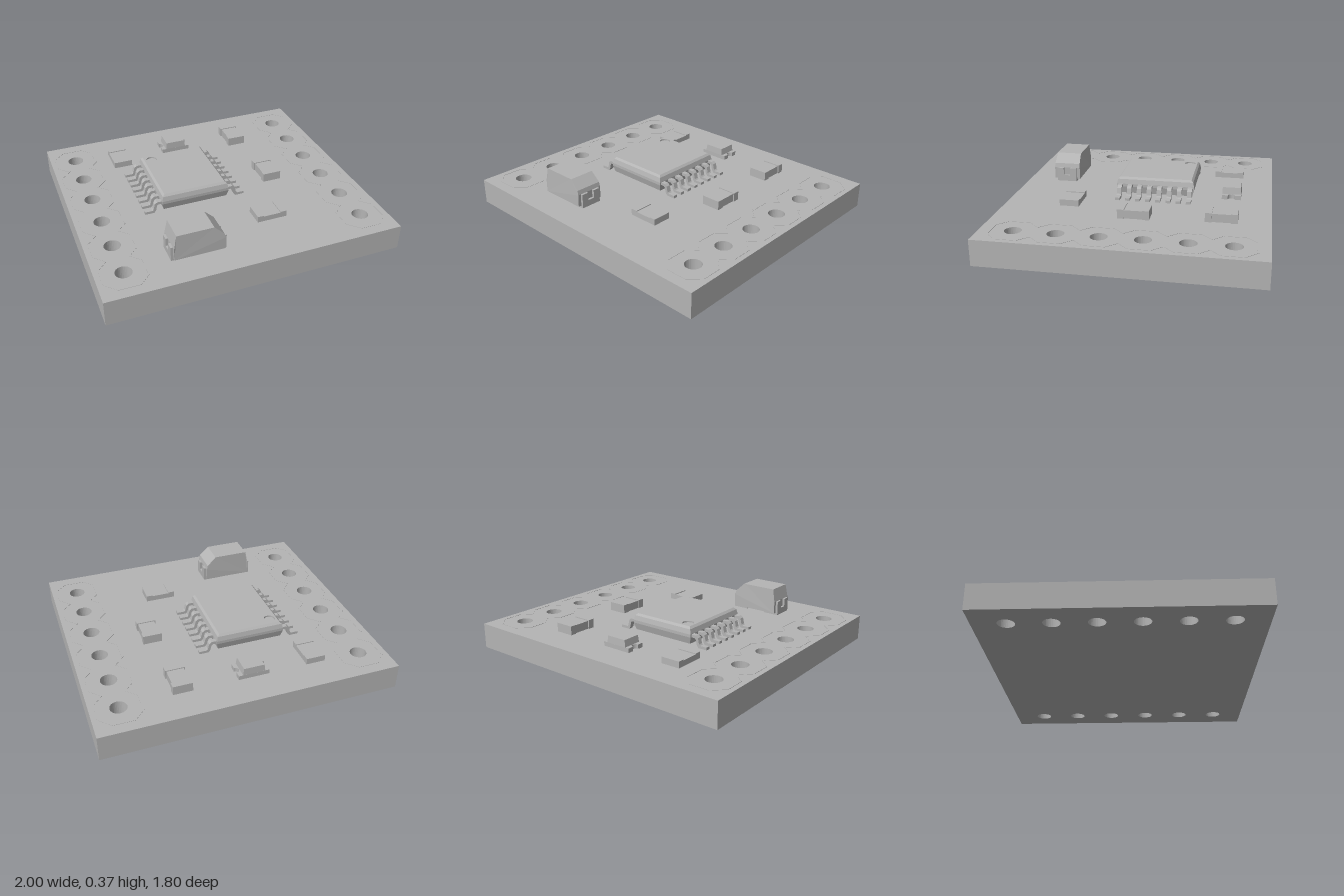
import * as THREE from 'three';

const grey = new THREE.MeshStandardMaterial({ color: 0xb4b4b4 });
grey.name = 'plain grey';
const TOP = 0.175;

function add(parent, name, geometry) {
  const m = new THREE.Mesh(geometry, grey);
  m.name = name;
  parent.add(m);
  return m;
}

function box(parent, name, w, h, d, x, y, z) {
  return add(parent, name, new THREE.BoxGeometry(w, h, d).translate(x, y + h / 2, z));
}

function polygon(points) {
  return new THREE.Shape(points.map(([x, y]) => new THREE.Vector2(x, y)));
}

// Extrudes a plan outline (x, -z) upwards from height y
function slab(shape, y, h) {
  return new THREE.ExtrudeGeometry(shape, { depth: h, bevelEnabled: false, curveSegments: 16 })
    .rotateX(-Math.PI / 2).translate(0, y, 0);
}

// Side walls through stacked rectangles [y, half width, half depth], closed below
function stackedWalls(rings) {
  const pos = [];
  const corner = ([y, w, d], i) => [[-w, y, d], [w, y, d], [w, y, -d], [-w, y, -d]][i % 4];
  for (let r = 0; r < rings.length - 1; r++) {
    for (let i = 0; i < 4; i++) {
      const a = corner(rings[r], i), b = corner(rings[r], i + 1);
      const c = corner(rings[r + 1], i + 1), d = corner(rings[r + 1], i);
      pos.push(...a, ...b, ...c, ...a, ...c, ...d);
    }
  }
  const [p, q, s, t] = [0, 1, 2, 3].map(i => corner(rings[0], i));
  pos.push(...p, ...s, ...q, ...p, ...t, ...s);
  const g = new THREE.BufferGeometry();
  g.setAttribute('position', new THREE.Float32BufferAttribute(pos, 3));
  g.computeVertexNormals();
  return g;
}

function addBoard(root) {
  const shape = polygon([[-1, -0.9], [1, -0.9], [1, 0.9], [-1, 0.9]]);
  for (const x of [-0.82, 0.82]) {
    for (let i = 0; i < 6; i++) {
      const hole = new THREE.Path();
      hole.absarc(x, (i - 2.5) * 0.273, 0.055, 0, Math.PI * 2, true);
      shape.holes.push(hole);
    }
  }
  add(root, 'board', slab(shape, 0, TOP));
}

// Thin scalloped line printed around each row of holes
function addRowOutlines(root) {
  const outline = r => {
    const side = [];
    for (let i = 0; i < 6; i++) {
      const y = (i - 2.5) * 0.273;
      side.push([r, y - 0.07], [r, y + 0.07]);
      if (i < 5) side.push([r - 0.065, y + 0.1365]);
    }
    const end = 2.5 * 0.273 + r;
    return [[0.07, -end], ...side, [0.07, end], [-0.07, end],
      ...side.map(([x, y]) => [-x, y]).reverse(), [-0.07, -end]];
  };
  for (const x of [-0.82, 0.82]) {
    const shape = polygon(outline(0.145));
    shape.holes.push(polygon(outline(0.135)));
    add(root, 'rowOutline', slab(shape, TOP, 0.002)).position.x = x;
  }
}

function addChip(root) {
  const chip = new THREE.Group();
  chip.name = 'chip';
  chip.position.set(-0.17, 0, -0.09);
  root.add(chip);
  add(chip, 'chipBody', stackedWalls([
    [0.19, 0.228, 0.26], [0.238, 0.24, 0.273], [0.258, 0.24, 0.273],
    [0.29, 0.232, 0.265], [0.304, 0.218, 0.252]]));

  // Lid with a round marker dimple
  const dx = -0.167, dz = -0.2, r = 0.038;
  const lid = polygon([[-0.218, -0.252], [0.218, -0.252], [0.218, 0.252], [-0.218, 0.252]]);
  const hole = new THREE.Path();
  hole.absarc(dx, -dz, r, 0, Math.PI * 2, true);
  lid.holes.push(hole);
  add(chip, 'chipLid', slab(lid, 0.292, 0.012));
  add(chip, 'dimpleFloor', new THREE.CircleGeometry(r + 0.002, 32)
    .rotateX(-Math.PI / 2).translate(dx, 0.294, dz));

  // Gull-wing leads, eight on each side
  const profile = polygon([
    [0.23, 0.238], [0.265, 0.238], [0.274, 0.23], [0.284, 0.192], [0.296, 0.177], [0.36, 0.177],
    [0.36, 0.195], [0.308, 0.195], [0.301, 0.203], [0.291, 0.243], [0.274, 0.257], [0.23, 0.257]]);
  const lead = new THREE.ExtrudeGeometry(profile, { depth: 0.032, bevelEnabled: false })
    .translate(0, 0, -0.016);
  for (let i = 0; i < 8; i++) {
    for (const turn of [0, Math.PI]) {
      const m = add(chip, 'chipLead', lead);
      m.position.z = (i - 3.5) * 0.0703;
      m.rotation.y = turn;
    }
  }
}

// Tall moulded capacitor with one sloped shoulder and folded end tabs
function addMouldedCapacitor(root) {
  const cap = new THREE.Group();
  cap.name = 'mouldedCapacitor';
  cap.position.set(0, 0, 0.613);
  root.add(cap);
  const profile = polygon([
    [-0.505, 0.19], [-0.17, 0.19], [-0.168, 0.275], [-0.175, 0.305],
    [-0.24, 0.367], [-0.487, 0.367], [-0.505, 0.275]]);
  const body = new THREE.ExtrudeGeometry(profile, { depth: 0.19, bevelEnabled: false })
    .translate(0, 0, -0.095);
  const p = body.attributes.position;
  for (let i = 0; i < p.count; i++) {
    const rise = Math.max(0, p.getY(i) - 0.275);
    p.setZ(i, p.getZ(i) * (1 - rise * 0.7));
  }
  body.computeVertexNormals();
  add(cap, 'capacitorBody', body);

  const tab = polygon([
    [-0.073, 0.177], [0.073, 0.177], [0.073, 0.275], [0.024, 0.275],
    [0.024, 0.22], [-0.024, 0.22], [-0.024, 0.275], [-0.073, 0.275]]);
  for (const [x, foot] of [[-0.521, -0.465], [-0.17, -0.21]]) {
    add(cap, 'endTab', new THREE.ExtrudeGeometry(tab, { depth: 0.018, bevelEnabled: false })
      .rotateY(Math.PI / 2).translate(x, 0, 0));
    box(cap, 'foot', 0.11, 0.016, 0.146, foot, TOP, 0);
  }
}

// Small two-ended chip part, long along z before turning
function addSmallPart(root, name, x, z, height, waist, turn) {
  const part = new THREE.Group();
  part.name = name;
  part.position.set(x, 0, z);
  part.rotation.y = turn;
  root.add(part);
  box(part, 'core', 0.132 - waist, height - 0.006, 0.13, 0, TOP, 0);
  for (const s of [-1, 1]) box(part, 'endCap', 0.132, height, 0.044, 0, TOP, s * 0.083);
}

// Lamp: a block on a thin base with notched ends
function addLamp(root) {
  const base = new THREE.Shape();
  base.moveTo(-0.105, -0.066);
  base.lineTo(0.105, -0.066);
  base.lineTo(0.105, -0.025);
  base.absarc(0.105, 0, 0.025, Math.PI * 1.5, Math.PI / 2, true);
  base.lineTo(0.105, 0.066);
  base.lineTo(-0.105, 0.066);
  base.lineTo(-0.105, 0.025);
  base.absarc(-0.105, 0, 0.025, Math.PI / 2, -Math.PI / 2, true);
  base.closePath();
  const lamp = new THREE.Group();
  lamp.name = 'lamp';
  lamp.position.set(-0.066, 0, -0.62);
  root.add(lamp);
  add(lamp, 'lampBase', slab(base, TOP, 0.03));
  add(lamp, 'lampBlock', stackedWalls([[0.2, 0.077, 0.066], [0.252, 0.07, 0.063], [0.252, 0, 0]]));
}

export function createModel() {
  const root = new THREE.Group();
  root.name = 'circuitBoard';
  addBoard(root);
  addRowOutlines(root);
  addChip(root);
  addMouldedCapacitor(root);
  addLamp(root);
  addSmallPart(root, 'resistor', -0.503, -0.58, 0.043, 0, 0);
  addSmallPart(root, 'resistor', 0.245, 0.455, 0.043, 0, Math.PI / 2);
  addSmallPart(root, 'ceramicCapacitor', 0.41, -0.58, 0.062, 0.016, 0);
  addSmallPart(root, 'ceramicCapacitor', 0.447, -0.015, 0.062, 0.016, 0);
  return root;
}
